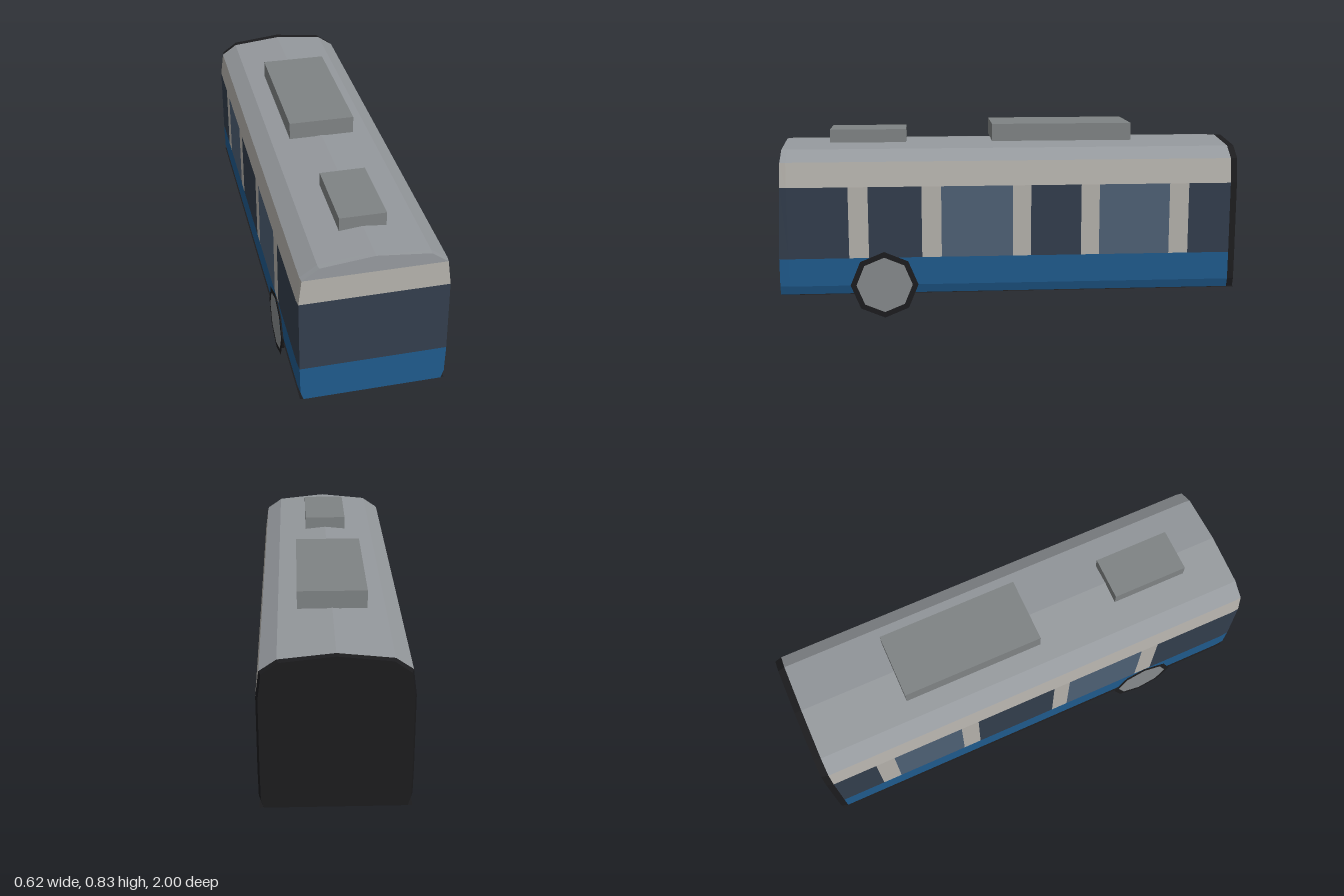
import * as THREE from 'three';

const mat = (color) => new THREE.MeshStandardMaterial({ color, flatShading: true, side: THREE.DoubleSide });

// Half cross-section of the body, from skirt to roof ridge
const PROFILE = [[0.288, 0.107], [0.3, 0.145], [0.302, 0.267], [0.302, 0.578], [0.288, 0.685], [0.22, 0.732], [0, 0.755]];
const NOSE = 0.96, TAIL = -0.97;

// Point on the skin: both ends are pulled in a little and the nose leans back
function skin(i, z, side) {
  const [x, y] = PROFILE[i];
  const scale = z >= 1 ? 0.988 : z <= -1 ? 0.97 : 1;
  const zz = z >= 1 ? 1 - 0.035 * Math.max(0, y - 0.267) : z;
  return [side * x * scale, y, zz];
}

function quadMesh(name, quads, material) {
  const pos = [];
  for (const [a, b, c, d] of quads) pos.push(...a, ...b, ...c, ...a, ...c, ...d);
  const g = new THREE.BufferGeometry();
  g.setAttribute('position', new THREE.Float32BufferAttribute(pos, 3));
  g.computeVertexNormals();
  const m = new THREE.Mesh(g, material);
  m.name = name;
  return m;
}

// One side strip between two profile points, split where the nose starts
function sidePanel(i, z0, z1, side) {
  if (z0 < NOSE && z1 > NOSE) return [...sidePanel(i, z0, NOSE, side), ...sidePanel(i, NOSE, z1, side)];
  const q = [skin(i, z0, side), skin(i + 1, z0, side), skin(i + 1, z1, side), skin(i, z1, side)];
  return [side > 0 ? q : q.reverse()];
}

// Strip across the front or rear end
function endPanel(i, z) {
  const q = [skin(i, z, -1), skin(i, z, 1), skin(i + 1, z, 1), skin(i + 1, z, -1)];
  return z > 0 ? q : q.reverse();
}

export function createModel() {
  const bus = new THREE.Group();
  bus.name = 'bus';
  const blue = mat(0x1f5a8c), cream = mat(0xb3b0aa), roof = mat(0x94989c), black = mat(0x1c1c1e);
  const glass = mat(0x323d4c), paleGlass = mat(0x4d5f74), hub = mat(0x85898b), hatch = mat(0x7f8384);

  // Skirt, cornice and roof bands, wrapping both sides and the front
  const bands = [['skirt', 0, 2, blue], ['cornice', 3, 4, cream], ['roof', 4, 6, roof]];
  for (const [name, from, to, material] of bands) {
    const quads = [];
    for (let i = from; i < to; i++) {
      for (const side of [1, -1]) quads.push(...sidePanel(i, TAIL, 1, side));
      quads.push(endPanel(i, 1));
    }
    bus.add(quadMesh(name, quads, material));
  }
  bus.add(quadMesh('windscreen', [endPanel(2, 1)], glass));

  // Side windows, front to back: [front z, rear z, pale]; pillars fill the gaps
  const rows = [
    [1, [[1, 0.7], [0.615, 0.385], [0.3, -0.01, true], [-0.09, -0.31], [-0.39, -0.7, true], [-0.785, TAIL]]],
    [-1, [[1, 0.58], [0.5, 0.145, true], [0.07, -0.295], [-0.375, -0.69, true], [-0.775, TAIL]]],
  ];
  for (const [side, windows] of rows) {
    const label = side > 0 ? 'left' : 'right';
    const pillars = [];
    windows.forEach(([front, rear, pale], k) => {
      bus.add(quadMesh(label + 'Window' + (k + 1), sidePanel(2, rear, front, side), pale ? paleGlass : glass));
      if (k > 0) pillars.push(...sidePanel(2, front, windows[k - 1][1], side));
    });
    bus.add(quadMesh(label + 'Pillars', pillars, cream));
  }

  // Black rear frame and end wall
  const rear = [];
  for (let i = 0; i < PROFILE.length - 1; i++) {
    for (const side of [1, -1]) rear.push(...sidePanel(i, -1, TAIL, side));
    rear.push(endPanel(i, -1));
  }
  bus.add(quadMesh('rearFrame', rear, black));

  // Flat underside
  const y = PROFILE[0][1];
  bus.add(quadMesh('underside', [[[-0.298, y, -1], [0.298, y, -1], [0.298, y, 0.998], [-0.298, y, 0.998]]], black));

  // Roof units
  const addBox = (name, w, y0, y1, z0, z1) => {
    const m = new THREE.Mesh(new THREE.BoxGeometry(w, y1 - y0, z1 - z0), hatch);
    m.position.set(0, (y0 + y1) / 2, (z0 + z1) / 2);
    m.name = name;
    bus.add(m);
  };
  addBox('frontRoofUnit', 0.19, 0.74, 0.803, 0.45, 0.785);
  addBox('rearRoofUnit', 0.285, 0.752, 0.828, -0.55, 0.07);

  // Octagonal front wheels with a wide flat outer rim
  for (const side of [1, -1]) {
    const wheel = new THREE.Group();
    wheel.name = side > 0 ? 'leftWheel' : 'rightWheel';
    const add = (name, geometry, material, x) => {
      const m = new THREE.Mesh(geometry, material);
      m.name = name;
      m.position.x = side * x;
      wheel.add(m);
    };
    add('tyre', new THREE.CylinderGeometry(0.12, 0.12, 0.06, 8, 1, true).rotateZ(Math.PI / 2), black, 0.28);
    add('rim', new THREE.RingGeometry(0.12, 0.147, 8).rotateY(side * Math.PI / 2), black, 0.31);
    add('hub', new THREE.CircleGeometry(0.122, 8).rotateY(side * Math.PI / 2), hub, 0.3105);
    add('innerHub', new THREE.CircleGeometry(0.12, 8).rotateY(-side * Math.PI / 2), hub, 0.25);
    wheel.position.set(0, 0.147, 0.55);
    bus.add(wheel);
  }
  return bus;
}
